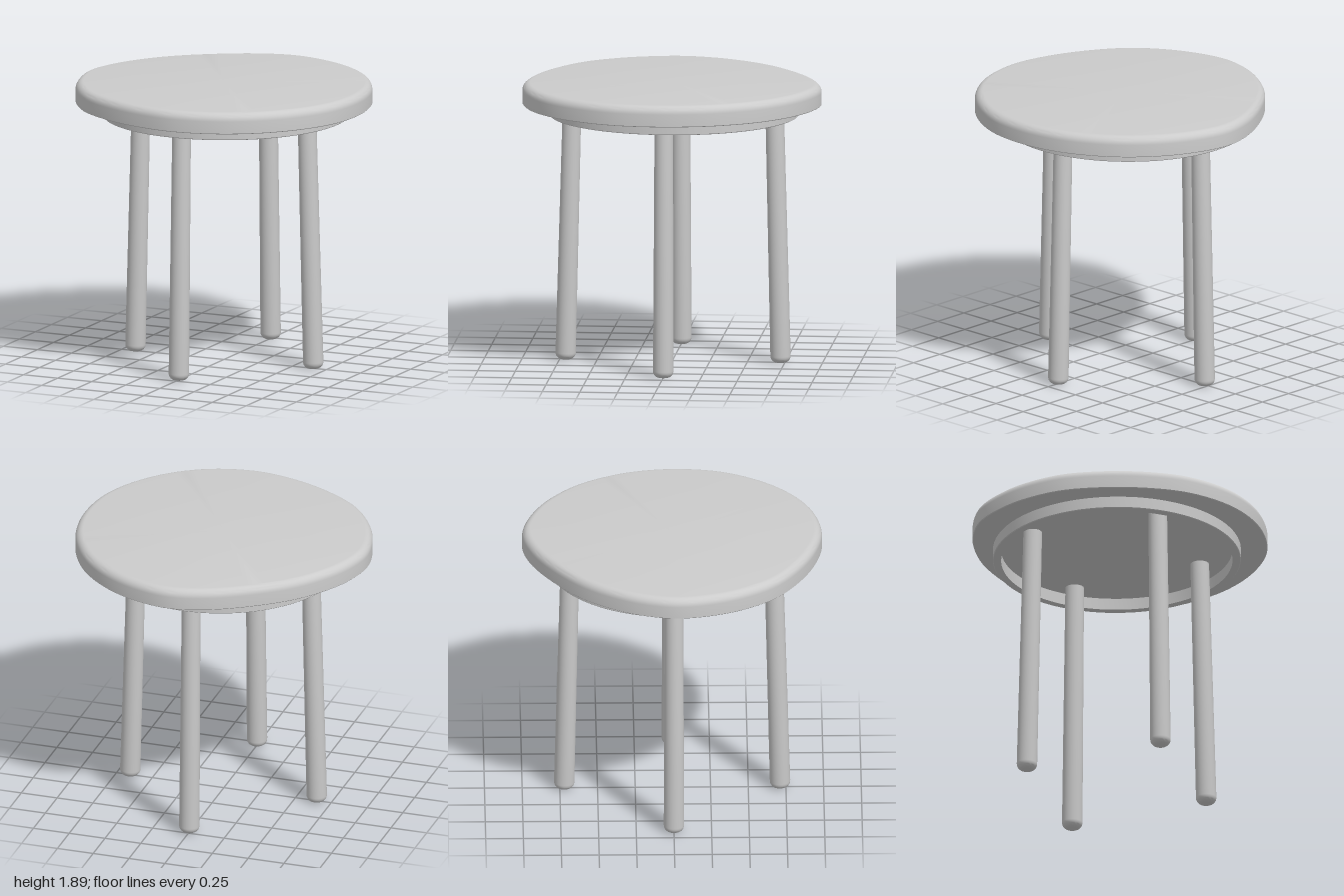
import * as THREE from 'three';
import { toCreasedNormals } from 'three/addons/utils/BufferGeometryUtils.js';

const material = new THREE.MeshStandardMaterial({ color: 0xcccccc });

function addMesh(parent, name, geometry) {
  const mesh = new THREE.Mesh(toCreasedNormals(geometry, Math.PI / 5), material);
  mesh.name = name;
  parent.add(mesh);
  return mesh;
}

// Points of a quarter-round from angle a to b
function arc(cx, cy, r, a, b, n = 8) {
  return Array.from({ length: n + 1 }, (_, i) => {
    const t = a + ((b - a) * i) / n;
    return new THREE.Vector2(cx + r * Math.cos(t), cy + r * Math.sin(t));
  });
}

// Pebble outline of the seat as x, z, from the front round by +x
const outline = new THREE.CatmullRomCurve3([
  [0.09, 0.99], [0.4, 0.925], [0.645, 0.775], [0.83, 0.565], [0.95, 0.32],
  [0.99, 0.04], [0.965, -0.2], [0.9, -0.4], [0.755, -0.64], [0.54, -0.835],
  [0.3, -0.955], [0.067, -1.0], [-0.18, -0.945], [-0.45, -0.8], [-0.71, -0.59],
  [-0.9, -0.32], [-0.98, -0.1], [-0.995, 0.04], [-0.965, 0.22], [-0.885, 0.43],
  [-0.71, 0.67], [-0.45, 0.845], [-0.18, 0.95],
].map(([x, z]) => new THREE.Vector3(x, 0, z)), true);

// Seat: a lathed slab whose rings follow the outline
function seatGeometry() {
  const segments = 112;
  const profile = [
    new THREE.Vector2(0, 1.745),
    new THREE.Vector2(0.995, 1.745),
    new THREE.Vector2(1, 1.75),
    ...arc(0.945, 1.83, 0.055, 0, Math.PI / 2),
    new THREE.Vector2(0, 1.885),
  ];
  const geometry = new THREE.LatheGeometry(profile, segments);
  const position = geometry.attributes.position;
  for (let i = 0; i <= segments; i++) {
    const edge = outline.getPoint((i % segments) / segments);
    profile.forEach((p, j) => {
      position.setXYZ(i * profile.length + j, edge.x * p.x, p.y, edge.z * p.x);
    });
  }
  return geometry;
}

export function createModel() {
  const model = new THREE.Group();
  model.name = 'stool';
  addMesh(model, 'seat', seatGeometry());

  // Support ring under the seat, open in the middle
  const ring = addMesh(model, 'supportRing', new THREE.LatheGeometry([
    [0.77, 1.745], [0.77, 1.665], [0.82, 1.665], [0.825, 1.67], [0.825, 1.745],
  ].map(([r, y]) => new THREE.Vector2(r, y)), 96));
  ring.scale.set(0.995, 1, 1.008);
  ring.position.set(0.01, 0, -0.012);

  // Four splayed, slightly tapered legs with rounded feet
  const legGeometry = new THREE.LatheGeometry([
    new THREE.Vector2(0, 0),
    ...arc(0.023, 0.045, 0.045, -Math.PI / 2, 0),
    new THREE.Vector2(0.062, 1.746),
    new THREE.Vector2(0, 1.746),
  ], 32);
  const legs = [
    ['leftLeg', 0.655, 0, 0.608, 0],
    ['rightLeg', -0.65, 0, -0.608, 0],
    ['frontLeg', 0.003, 0.712, 0.003, 0.668],
    ['backLeg', 0.003, -0.722, 0.003, -0.682],
  ];
  const up = new THREE.Vector3(0, 1, 0);
  for (const [name, footX, footZ, topX, topZ] of legs) {
    const leg = addMesh(model, name, legGeometry);
    const lean = new THREE.Vector3(topX - footX, 1.7, topZ - footZ).normalize();
    leg.quaternion.setFromUnitVectors(up, lean);
    leg.position.set(footX, 0, footZ);
  }
  return model;
}
